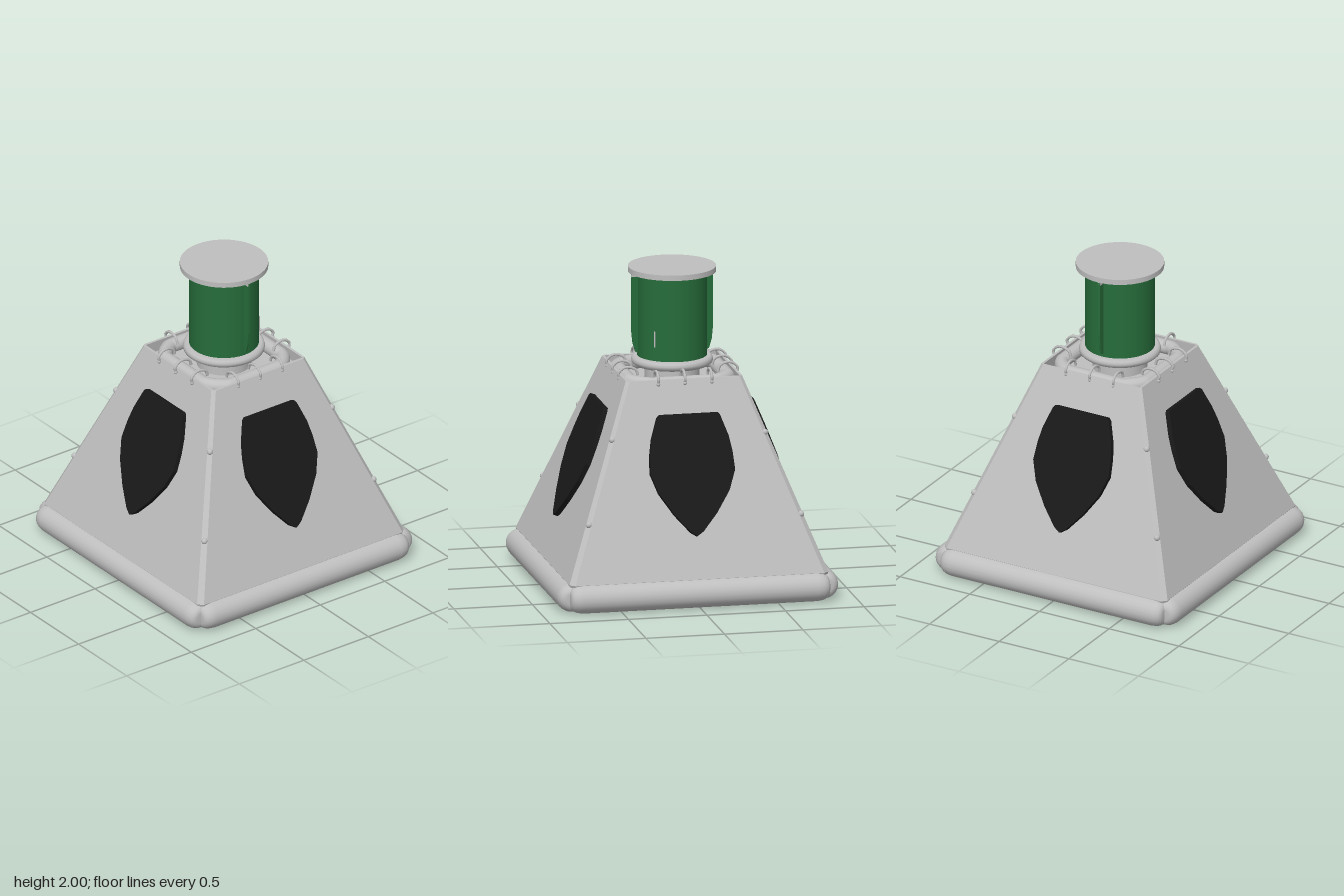
import * as THREE from 'three';

const DEPTH = 1.03; // the body is slightly longer in z than in x
const wallAt = (y) => 0.8 - 0.374 * (y - 0.18);

export function createModel() {
  const mat = (name, color) => {
    const m = new THREE.MeshStandardMaterial({ color });
    m.name = name;
    return m;
  };
  const grey = mat('pale grey', 0xbfbfbf);
  const green = mat('deep green', 0x266c3a);
  const black = mat('charcoal', 0x191919);

  const root = new THREE.Group();
  root.name = 'pyramidFloat';
  const add = (name, geometry, material, parent = root) => {
    const mesh = new THREE.Mesh(geometry, material);
    mesh.name = name;
    parent.add(mesh);
    return mesh;
  };
  const v2 = (pts) => pts.map(([x, y]) => new THREE.Vector2(x, y));
  const v3 = (pts) => pts.map((p) => new THREE.Vector3(...p));

  // Square cross-section with cut corners
  const section = ([h, y, cut]) => {
    const s = h - cut;
    return [[-s, h], [s, h], [h, s], [h, -s], [s, -h], [-s, -h], [-h, -s], [-h, s]]
      .map(([x, z]) => [x, y, z * DEPTH]);
  };
  // Hollow shell lofted from floor, skirt, sloping walls, rim and sunken well
  const rings = [
    [0, 0.03, 0], [0.74, 0.03, 0.02], [0.775, 0.08, 0.03], [0.8, 0.18, 0.03],
    [wallAt(1.358), 1.358, 0.02], [0.343, 1.358, 0], [0.352, 1.28, 0], [0, 1.28, 0],
  ].map(section);
  const corners = [];
  for (let j = 0; j < rings.length - 1; j++) {
    for (let s = 0; s < 8; s++) {
      const t = (s + 1) % 8;
      const [a, b, c, d] = [rings[j][s], rings[j][t], rings[j + 1][t], rings[j + 1][s]];
      corners.push(...a, ...b, ...c, ...a, ...c, ...d);
    }
  }
  const shell = new THREE.BufferGeometry();
  shell.setAttribute('position', new THREE.Float32BufferAttribute(corners, 3));
  shell.computeVertexNormals();
  add('pyramidShell', shell, grey);

  // Fat tubes with softly rounded ends, lying along x
  const roundedTube = (r, half) => {
    const end = [[0, 0], [0.45, 0], [0.66, 0.07], [0.82, 0.22], [0.94, 0.48], [1, 0.9]];
    const lower = end.map(([a, b]) => [a * r, b * r - half]);
    const upper = end.map(([a, b]) => [a * r, half - b * r]).reverse();
    return new THREE.LatheGeometry(v2([...lower, ...upper]), 20).rotateZ(Math.PI / 2);
  };

  // Shield outline, right half from top to tip
  const half = [
    [0.185, 1.16], [0.2, 1.145], [0.245, 1.02], [0.262, 0.93], [0.27, 0.82],
    [0.225, 0.7], [0.135, 0.57], [0.04, 0.465], [0, 0.44],
  ];
  const mirrored = half.slice(0, -1).reverse().map(([x, y]) => [-x, y]);
  const shieldShape = new THREE.Shape(v2([...half, ...mirrored]));

  for (let i = 0; i < 4; i++) {
    const side = new THREE.Group();
    side.name = ['front', 'left', 'back', 'right'][i] + 'Side';
    side.rotation.y = i * Math.PI / 2;
    root.add(side);
    const alongX = i % 2 === 0;
    const k = alongX ? DEPTH : 1;

    // Base bumper
    add('baseTube', roundedTube(0.09, alongX ? 0.795 : 0.825), grey, side)
      .position.set(0, 0.091, alongX ? 0.806 : 0.784);

    // Shield laid on the sloping wall, its thickness square to the wall
    const shield = new THREE.ExtrudeGeometry(shieldShape, { depth: 0.042, bevelEnabled: false });
    const pos = shield.attributes.position;
    for (let j = 0; j < pos.count; j++) {
      const [y, t] = [pos.getY(j), pos.getZ(j) - 0.01];
      pos.setY(j, y + t * 0.35 - 0.008);
      pos.setZ(j, wallAt(y - 0.008) * k + t * 0.94);
    }
    shield.computeVertexNormals();
    add('shieldPanel', shield, black, side);

    // Cord loops over the rim
    for (const x of [-0.17, 0, 0.17]) {
      const path = new THREE.CatmullRomCurve3(v3([
        [x, 1.335, 0.37], [x, 1.365, 0.38], [x, 1.398, 0.35],
        [x, 1.404, 0.31], [x, 1.385, 0.268], [x, 1.35, 0.255],
      ]));
      add('cordLoop', new THREE.TubeGeometry(path, 18, 0.009, 6), grey, side);
      add('cordKnot', new THREE.SphereGeometry(0.012, 8, 6), grey, side)
        .position.set(x, 1.335, 0.375);
    }
  }

  // Padded ring just inside the rim, a square with cut, rounded corners
  const ringPath = new THREE.CurvePath();
  const a = 0.302;
  const c = 0.19;
  const flat = [[a, -c], [a, c], [c, a], [-c, a], [-a, c], [-a, -c], [-c, -a], [c, -a]]
    .map(([x, z]) => new THREE.Vector3(x, 1.318, z * DEPTH));
  for (let i = 0; i < 8; i += 2) {
    const [p, q, r] = [flat[i], flat[i + 1], flat[(i + 2) % 8]];
    const bend = new THREE.Vector3(
      Math.sign(q.x + r.x) * a * 0.88, 1.318, Math.sign(q.z + r.z) * a * DEPTH * 0.88);
    ringPath.add(new THREE.LineCurve3(p, q));
    ringPath.add(new THREE.QuadraticBezierCurve3(q, bend, r));
  }
  add('rimRing', new THREE.TubeGeometry(ringPath, 96, 0.046, 14, true), grey);

  // Lacing knots down the corner edges
  for (const sx of [-1, 1]) {
    for (const sz of [-1, 1]) {
      for (const y of [0.53, 1.02]) {
        const w = wallAt(y) - 0.014;
        add('cornerKnot', new THREE.SphereGeometry(0.02, 10, 8), grey)
          .position.set(sx * w, y, sz * w * DEPTH);
      }
    }
  }

  // Central canister: neck, flange, green body and cap
  const drum = (name, r, y0, y1, material) =>
    add(name, new THREE.CylinderGeometry(r, r, y1 - y0, 48), material)
      .position.set(0, (y0 + y1) / 2, 0);
  drum('neck', 0.17, 1.27, 1.39, grey);
  drum('canister', 0.218, 1.42, 1.968, green);
  drum('cap', 0.275, 1.966, 2, grey);
  add('flange', new THREE.LatheGeometry(v2([
    [0, 1.375], [0.235, 1.375], [0.252, 1.388], [0.255, 1.405],
    [0.25, 1.422], [0.235, 1.432], [0, 1.432],
  ]), 48), grey);

  // Thin fins at the front and back of the canister
  const finShape = new THREE.Shape(v2([
    [0.2, 1.44], [0.235, 1.46], [0.252, 1.52], [0.26, 1.6], [0.26, 1.955], [0.2, 1.955],
  ]));
  for (const turn of [-1, 1]) {
    const fin = new THREE.ExtrudeGeometry(finShape, { depth: 0.012, bevelEnabled: false })
      .translate(0, 0, -0.006).rotateY(turn * Math.PI / 2);
    add('canisterFin', fin, green);
    add('finClip', new THREE.BoxGeometry(0.016, 0.025, 0.03), grey)
      .position.set(0, 1.95, turn * 0.245);
  }

  // Small marker strip on the canister
  const strip = add('markerStrip', new THREE.BoxGeometry(0.008, 0.1, 0.008), grey);
  strip.position.set(0.163, 1.57, 0.146);
  strip.rotation.y = Math.PI / 4;

  return root;
}
